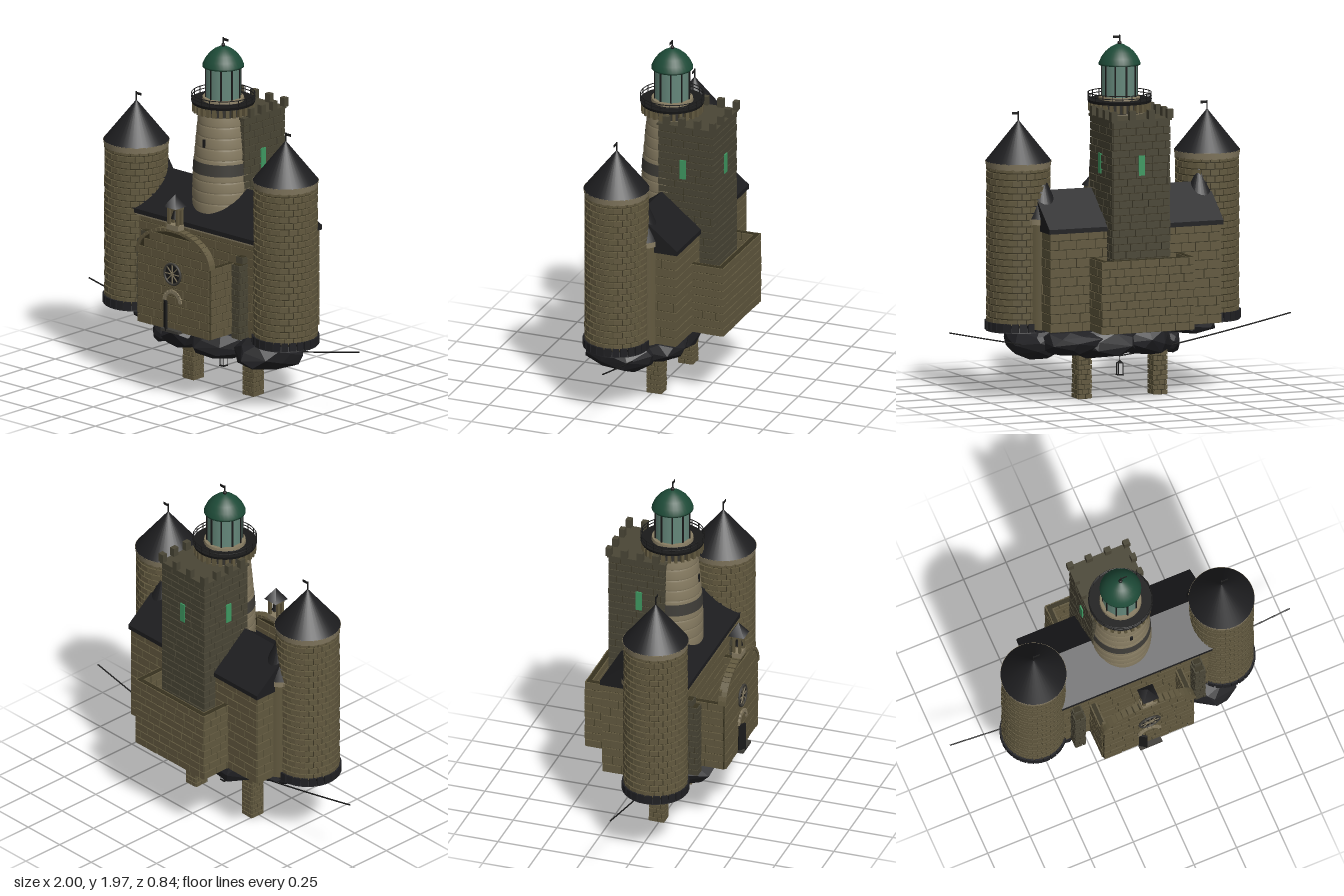
import * as THREE from 'three';
import { mergeGeometries } from 'three/addons/utils/BufferGeometryUtils.js';
import { ConvexGeometry } from 'three/addons/geometries/ConvexGeometry.js';

const mat = (color, flat = false) =>
  new THREE.MeshStandardMaterial({ color, flatShading: flat, side: THREE.DoubleSide });
const STONE = mat(0x62593f), MORTAR = mat(0x37321f), KEEP = mat(0x4a4636), PALE = mat(0x877c62);
const ROOF = mat(0x1d1d1f), ROCK = mat(0x202023, true), IRON = mat(0x1a1a1a), BAND = mat(0x3f3d38);
const GREEN = mat(0x1d4a37), GLASS = mat(0x66897c), GLOW = mat(0x3f9a62), LAMP = mat(0xcccccc);

let seed = 7;
const rnd = () => ((seed = (seed * 16807) % 2147483647) / 2147483647);

export function createModel() {
  const model = new THREE.Group();
  const add = (name, geo, m, x = 0, y = 0, z = 0, parent = model) => {
    const mesh = new THREE.Mesh(geo, m);
    mesh.name = name;
    mesh.position.set(x, y, z);
    parent.add(mesh);
    return mesh;
  };
  const box = (w, h, d, x = 0, y = 0, z = 0) => new THREE.BoxGeometry(w, h, d).translate(x, y, z);
  const cyl = (rt, rb, h, n = 32) => new THREE.CylinderGeometry(rt, rb, h, n);
  // n copies of a box set around a vertical circle
  const around = (n, r, w, h, d, phase = 0) => mergeGeometries(Array.from({ length: n }, (_, i) =>
    box(w, h, d, 0, 0, r).rotateY(((i + phase) / n) * Math.PI * 2)));

  // Flat sheet of staggered bricks, centred on x, standing on y = 0, facing z
  const panel = (w, h, rowH, len, top = () => h) => {
    const bricks = [];
    const rows = Math.max(1, Math.round(h / rowH)), rh = h / rows;
    for (let j = 0; j < rows; j++) {
      let x = -w / 2, step = j % 2 ? len / 2 : len;
      while (x < w / 2 - 0.004) {
        const x1 = Math.min(w / 2, x + step * (0.8 + rnd() * 0.4)), cx = (x + x1) / 2;
        if ((j + 1) * rh <= top(cx) + 0.005) {
          bricks.push(box(x1 - x - 0.004, rh - 0.005, 0.012 + rnd() * 0.006, cx, (j + 0.5) * rh, 0));
        }
        x = x1;
        step = len;
      }
    }
    return mergeGeometries(bricks);
  };

  // Rectangular masonry block: a solid core with bricks on all four sides
  const masonry = (name, x0, x1, y0, y1, z0, z1, rowH = 0.045, len = 0.085, m = STONE) => {
    const g = new THREE.Group(), w = x1 - x0, h = y1 - y0, d = z1 - z0, e = 0.006;
    g.name = name;
    g.position.set((x0 + x1) / 2, y0, (z0 + z1) / 2);
    add(name + 'Core', box(w - 2 * e, h, d - 2 * e), MORTAR, 0, h / 2, 0, g);
    for (let k = 0; k < 4; k++) {
      const [pw, off] = k % 2 ? [d, w / 2] : [w, d / 2];
      const geo = panel(pw, h, rowH, len).translate(0, 0, off - e).rotateY((k * Math.PI) / 2);
      add(name + 'Bricks', geo, m, 0, 0, 0, g);
    }
    model.add(g);
  };

  // Flag on a short pole
  const flag = (x, y, z) => {
    add('flagPole', cyl(0.004, 0.004, 0.055, 8), IRON, x, y + 0.02, z);
    add('flag', box(0.035, 0.014, 0.003), IRON, x + 0.02, y + 0.038, z);
  };

  // Hall with a gabled roof
  masonry('hall', -0.5, 0.5, 0.4, 0.95, -0.24, 0.2, 0.05, 0.1);
  const gable = new THREE.Shape([[0.25, 0.94], [-0.22, 0.94], [-0.22, 0.965], [0.02, 1.15], [0.25, 0.965]]
    .map(([a, b]) => new THREE.Vector2(a, b)));
  add('hallRoof', new THREE.ExtrudeGeometry(gable, { depth: 1.02, bevelEnabled: false }).rotateY(Math.PI / 2), ROOF, -0.51);
  add('cornice', box(0.9, 0.02, 0.02), PALE, 0, 0.94, 0.205);

  // Round corner towers, small stair turrets and buttresses on both sides
  for (const s of [-1, 1]) {
    const x = s * 0.553, z = 0.085, rows = 24, y0 = 0.42, rh = 0.87 / rows;
    add('towerCore', cyl(0.164, 0.164, 0.9), MORTAR, x, 0.85, z);
    const courses = [];
    for (let j = 0; j < rows; j++) {
      courses.push(around(22, 0.165 + rnd() * 0.002, 0.045, rh - 0.007, 0.014, (j % 2) / 2)
        .translate(0, y0 + (j + 0.5) * rh, 0));
    }
    add('towerBricks', mergeGeometries(courses), STONE, x, 0, z);
    add('towerFoot', cyl(0.172, 0.178, 0.03), ROCK, x, 0.395, z);
    add('footStones', around(26, 0.172, 0.036, 0.045, 0.022), ROCK, x, 0.41, z);
    add('towerCornice', cyl(0.18, 0.174, 0.035, 40), PALE, x, 1.287, z);
    add('towerRoof', new THREE.ConeGeometry(0.18, 0.225, 40), ROOF, x, 1.415, z);
    flag(x, 1.525, z);

    add('stairTurret', cyl(0.1, 0.1, 0.6, 24), STONE, s * 0.46, 0.7, -0.03);
    add('stairTurretBand', cyl(0.108, 0.108, 0.03, 24), PALE, s * 0.46, 0.99, -0.03);
    add('stairTurretRoof', new THREE.ConeGeometry(0.108, 0.25, 24), ROOF, s * 0.46, 1.13, -0.03);

    const bx = s * 0.352;
    masonry('buttress', bx - 0.03, bx + 0.03, 0.4, 0.82, 0.19, 0.265, 0.035, 0.05, KEEP);
    masonry('buttressTop', bx - 0.025, bx + 0.025, 0.82, 0.86, 0.19, 0.235, 0.035, 0.05, KEEP);

    // Supporting piers
    masonry('pier', s * 0.222 - 0.04, s * 0.222 + 0.04, 0, 0.32, -0.055, 0.03, 0.027, 0.04);
  }

  // Open walled yards in front and behind
  for (const s of [-1, 1]) {
    const xa = s > 0 ? 0.235 : -0.27;
    masonry('porchSideWall', xa, xa + 0.035, 0.4, 0.8, 0.19, 0.37);
    masonry('yardSideWall', xa, xa + 0.035, 0.4, 0.8, -0.415, -0.23);
  }
  masonry('yardBackWall', -0.27, 0.27, 0.4, 0.8, -0.42, -0.385);

  // Arched porch front
  const archTop = (x) => 0.4 + 0.17 * Math.sqrt(Math.max(0, 1 - (x / 0.27) ** 2));
  const front = new THREE.Shape();
  front.moveTo(-0.265, 0);
  front.lineTo(0.265, 0);
  front.lineTo(0.265, 0.4);
  front.absellipse(0, 0.4, 0.265, 0.165, 0, Math.PI, false);
  front.closePath();
  add('porchFront', new THREE.ExtrudeGeometry(front, { depth: 0.026, bevelEnabled: false, curveSegments: 24 }), MORTAR, 0, 0.4, 0.352);
  for (const z of [0.352, 0.378]) add('porchBricks', panel(0.53, 0.58, 0.05, 0.09, archTop), STONE, 0, 0.4, z);
  const archStones = (n, a, b, w, h, d) => mergeGeometries(Array.from({ length: n }, (_, i) => {
    const t = ((i + 0.5) / n) * Math.PI;
    return box(w, h, d).rotateZ(Math.atan2(b * Math.cos(t), -a * Math.sin(t))).translate(a * Math.cos(t), b * Math.sin(t), 0);
  }));
  add('porchCoping', archStones(23, 0.265, 0.165, 0.028, 0.018, 0.045), STONE, 0, 0.8, 0.367);

  // Rose window
  add('roseGlass', cyl(0.058, 0.058, 0.01).rotateX(Math.PI / 2), IRON, 0, 0.722, 0.385);
  add('roseFrame', new THREE.TorusGeometry(0.058, 0.007, 8, 32), BAND, 0, 0.722, 0.39);
  for (let i = 0; i < 4; i++) add('roseSpoke', box(0.11, 0.005, 0.006), PALE, 0, 0.722, 0.391).rotation.z = (i * Math.PI) / 4;

  // Doorway with its leaf standing ajar
  add('doorArch', archStones(9, 0.058, 0.058, 0.019, 0.02, 0.02), PALE, 0, 0.565, 0.385);
  add('doorLeaf', box(0.045, 0.165, 0.012), IRON, -0.042, 0.485, 0.4).rotation.y = -0.6;
  add('doorStep', box(0.13, 0.015, 0.04), BAND, 0, 0.405, 0.395);

  // Bell cote on the porch
  add('bellCoteBase', box(0.085, 0.03, 0.05), PALE, 0, 0.985, 0.367);
  for (const sx of [-1, 1]) for (const sz of [-1, 1])
    add('bellCotePost', box(0.016, 0.1, 0.014), STONE, sx * 0.031, 1.05, 0.367 + sz * 0.016);
  add('bell', cyl(0.01, 0.024, 0.045, 16), IRON, 0, 1.055, 0.367);
  add('bellCoteLintel', box(0.08, 0.015, 0.05), STONE, 0, 1.095, 0.367);
  add('bellCoteRoof', new THREE.ConeGeometry(0.064, 0.07, 4).rotateY(Math.PI / 4), ROOF, 0, 1.135, 0.367);

  // Square keep with battlements and lit windows
  masonry('keep', -0.168, 0.168, 0.4, 1.545, -0.32, 0, 0.04, 0.085, KEEP);
  add('keepTop', box(0.35, 0.012, 0.335), KEEP, 0, 1.545, -0.16);
  const merlons = [];
  for (let i = 0; i < 4; i++) {
    const t = -0.165 + i * 0.11;
    merlons.push(box(0.035, 0.05, 0.03, t, 1.575, -0.318));
    if (i) for (const s of [-1, 1]) merlons.push(box(0.03, 0.05, 0.035, s * 0.168, 1.575, -0.318 + i * 0.09));
  }
  add('merlons', mergeGeometries(merlons), KEEP);
  for (const s of [-1, 1]) add('keepSideWindow', box(0.012, 0.11, 0.035), GLOW, s * 0.17, 1.3, -0.145);
  add('keepBackWindow', box(0.035, 0.11, 0.012), GLOW, 0, 1.3, -0.322);

  // Tapered light tower in slightly bulging courses
  const light = new THREE.Group();
  light.name = 'lightTower';
  light.position.z = -0.012;
  model.add(light);
  const radius = (y) => 0.168 - 0.032 * Math.max(0, (y - 1.15) / 0.4) ** 1.3;
  const profile = [];
  for (let j = 0; j < 10; j++) {
    const y = 0.95 + j * 0.061;
    for (const [t, e] of [[0, -0.003], [0.15, 0], [0.85, 0], [1, -0.003]])
      profile.push(new THREE.Vector2(radius(y + t * 0.061) + e, y + t * 0.061));
  }
  add('lightShaft', new THREE.LatheGeometry(profile, 40), PALE, 0, 0, 0, light);
  add('darkBand', cyl(radius(1.295) + 0.002, radius(1.23) + 0.002, 0.065, 40), BAND, 0, 1.262, 0, light);
  add('shaftWindow', box(0.016, 0.045, 0.02), IRON, 0, 1.405, 0.145, light);

  // Gallery on corbels with a railing
  add('galleryNeck', cyl(0.155, 0.138, 0.06, 40), BAND, 0, 1.585, 0, light);
  add('galleryCorbels', around(28, 0.155, 0.018, 0.045, 0.03), STONE, 0, 1.585, 0, light);
  add('galleryDeck', cyl(0.175, 0.17, 0.016, 40), IRON, 0, 1.616, 0, light);
  add('railPosts', around(20, 0.172, 0.004, 0.04, 0.004), IRON, 0, 1.642, 0, light);
  for (const y of [1.642, 1.66])
    add('rail', new THREE.TorusGeometry(0.172, 0.0025, 6, 48).rotateX(Math.PI / 2), IRON, 0, y, 0, light);

  // Lantern room and dome
  add('lanternBase', cyl(0.112, 0.115, 0.018), PALE, 0, 1.632, 0, light);
  add('lanternGlass', cyl(0.097, 0.097, 0.18, 10), GLASS, 0, 1.73, 0, light);
  add('mullions', around(10, 0.097, 0.008, 0.18, 0.008), IRON, 0, 1.73, 0, light);
  const dome = [[0, 1.812], [0.113, 1.812], [0.113, 1.822], [0.1, 1.852], [0.078, 1.882], [0.05, 1.906], [0.02, 1.922], [0, 1.926]];
  add('dome', new THREE.LatheGeometry(dome.map(([a, b]) => new THREE.Vector2(a, b)), 32), GREEN, 0, 0, 0, light);
  add('finial', new THREE.SphereGeometry(0.011, 12, 8), IRON, 0, 1.93, 0, light);
  flag(0, 1.925, -0.012);

  // Faceted rocks beneath the castle
  const rock = (x, y, z, rx, ry, rz) => {
    const pts = Array.from({ length: 34 }, (_, i) => {
      const v = 1 - (2 * (i + 0.5)) / 34, a = i * 2.4 + rnd() * 0.5, h = Math.sqrt(1 - v * v), k = 0.88 + rnd() * 0.16;
      return new THREE.Vector3(rx * k * Math.cos(a) * h ** 0.6, ry * k * v, rz * k * Math.sin(a) * h ** 0.6);
    });
    add('rock', new ConvexGeometry(pts), ROCK, x, y, z);
  };
  rock(0.44, 0.315, 0.1, 0.18, 0.1, 0.21);
  rock(0.12, 0.315, 0.04, 0.24, 0.1, 0.26);
  rock(-0.13, 0.315, 0.04, 0.19, 0.1, 0.25);
  rock(-0.42, 0.365, 0.04, 0.16, 0.05, 0.17);
  rock(-0.34, 0.265, 0.1, 0.06, 0.062, 0.06);
  rock(0.3, 0.32, -0.06, 0.2, 0.08, 0.16);

  // Chains to either side and the hanging lamp
  for (const s of [-1, 1]) {
    const pts = Array.from({ length: 9 }, (_, i) =>
      new THREE.Vector3((s * i) / 8, 0.22 + 0.18 * (i / 8) ** 1.2, -0.018));
    add('chain', new THREE.TubeGeometry(new THREE.CatmullRomCurve3(pts), 40, 0.004, 6), IRON);
  }
  add('lampCord', cyl(0.002, 0.002, 0.06, 6), IRON, 0, 0.215, -0.015);
  add('lampCap', new THREE.ConeGeometry(0.022, 0.018, 4).rotateY(Math.PI / 4), IRON, 0, 0.188, -0.015);
  add('lampBars', around(4, 0.02, 0.004, 0.065, 0.004, 0.5), IRON, 0, 0.148, -0.015);
  add('lampGlow', box(0.022, 0.055, 0.022), LAMP, 0, 0.148, -0.015);
  add('lampFoot', box(0.034, 0.005, 0.034), IRON, 0, 0.116, -0.015);

  return model;
}
